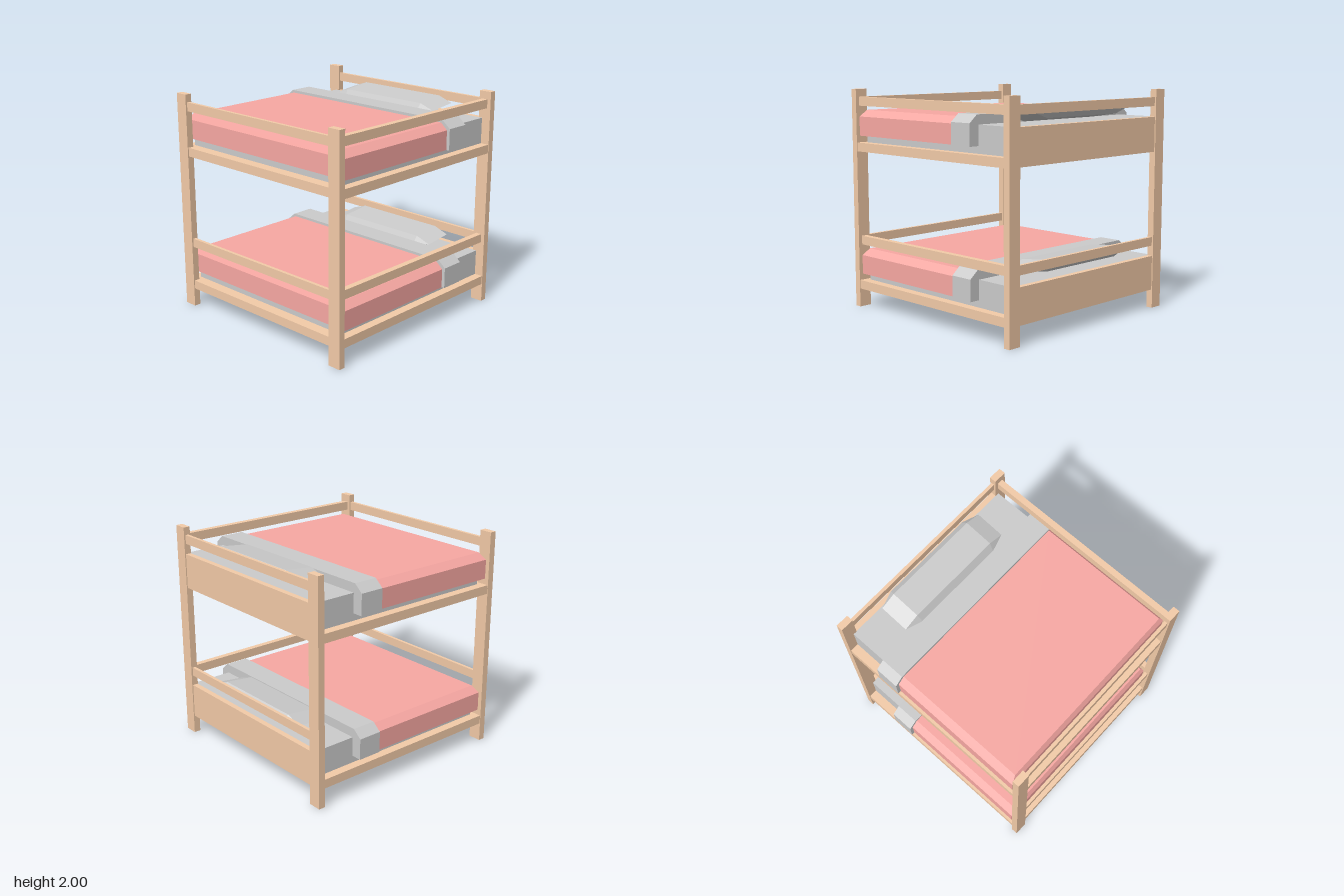
import * as THREE from 'three';
import { ConvexGeometry } from 'three/addons/geometries/ConvexGeometry.js';

const wood = new THREE.MeshStandardMaterial({ color: 0xf3cba8, flatShading: true });
const red = new THREE.MeshStandardMaterial({ color: 0xf8a8a3, flatShading: true });
const grey = new THREE.MeshStandardMaterial({ color: 0xcccccc, flatShading: true });

function add(parent, name, geometry, material) {
  const mesh = new THREE.Mesh(geometry, material);
  mesh.name = name;
  parent.add(mesh);
  return mesh;
}

// Box given by its lower and upper limits on each axis
function box(parent, name, material, [x0, x1], [y0, y1], [z0, z1]) {
  const g = new THREE.BoxGeometry(x1 - x0, y1 - y0, z1 - z0);
  g.translate((x0 + x1) / 2, (y0 + y1) / 2, (z0 + z1) / 2);
  return add(parent, name, g, material);
}

// Bedding cover: straight sides, then a bevel on both sides up to the top
function cover(parent, name, material, w, topW, y, [z0, z1], frontBevel) {
  const pts = [];
  for (const s of [-1, 1]) {
    for (const [hw, h, zf] of [[w, y[0], z1], [w, y[1], z1], [topW, y[2], z1 - frontBevel]]) {
      pts.push(new THREE.Vector3(s * hw, h, z0), new THREE.Vector3(s * hw, h, zf));
    }
  }
  return add(parent, name, new ConvexGeometry(pts), material);
}

// Faceted, slightly tilted pillow
function pillow(parent) {
  const half = [
    [0.595, 0.55, -0.62], [0.595, 0.58, -0.89],  // side edge
    [0.44, 0.525, -0.577], [0.44, 0.595, -0.938], // front and back ridge
    [0.45, 0.6, -0.62], [0.45, 0.63, -0.89],     // top
    [0.44, 0.49, -0.625], [0.44, 0.53, -0.89],   // bottom
  ];
  const pts = half.flatMap(([x, y, z]) => [new THREE.Vector3(x, y, z), new THREE.Vector3(-x, y, z)]);
  return add(parent, 'pillow', new ConvexGeometry(pts), grey);
}

function bunk(name, y) {
  const g = new THREE.Group();
  g.name = name;
  // Frame
  box(g, 'bedDeck', wood, [-0.985, 0.985], [0.17, 0.25], [-0.99, 0.99]);
  box(g, 'headPanel', wood, [-0.88, 0.88], [0.17, 0.485], [-0.99, -0.94]);
  // Guard rails at both ends and on one side
  box(g, 'footRail', wood, [-0.88, 0.88], [0.58, 0.66], [0.955, 0.985]);
  box(g, 'headRail', wood, [-0.88, 0.88], [0.58, 0.66], [-0.985, -0.955]);
  box(g, 'sideRail', wood, [0.9, 0.955], [0.58, 0.66], [-0.945, 0.945]);
  // Bedding
  box(g, 'mattress', grey, [-0.905, 0.905], [0.25, 0.485], [-0.94, 0.89]);
  cover(g, 'blanket', red, 0.97, 0.905, [0.312, 0.485, 0.543], [-0.345, 0.917], 0.028);
  cover(g, 'foldedSheet', grey, 1, 0.92, [0.312, 0.5, 0.567], [-0.565, -0.345], 0);
  pillow(g);
  g.position.y = y;
  return g;
}

export function createModel() {
  const model = new THREE.Group();
  model.name = 'bunkBed';
  // Corner posts
  for (const sx of [-1, 1]) {
    for (const sz of [-1, 1]) {
      const post = add(model, 'cornerPost', new THREE.BoxGeometry(0.12, 2, 0.062), wood);
      post.position.set(sx * 0.93, 1, sz * 0.969);
    }
  }
  model.add(bunk('lowerBunk', 0), bunk('upperBunk', 1.27));
  return model;
}
